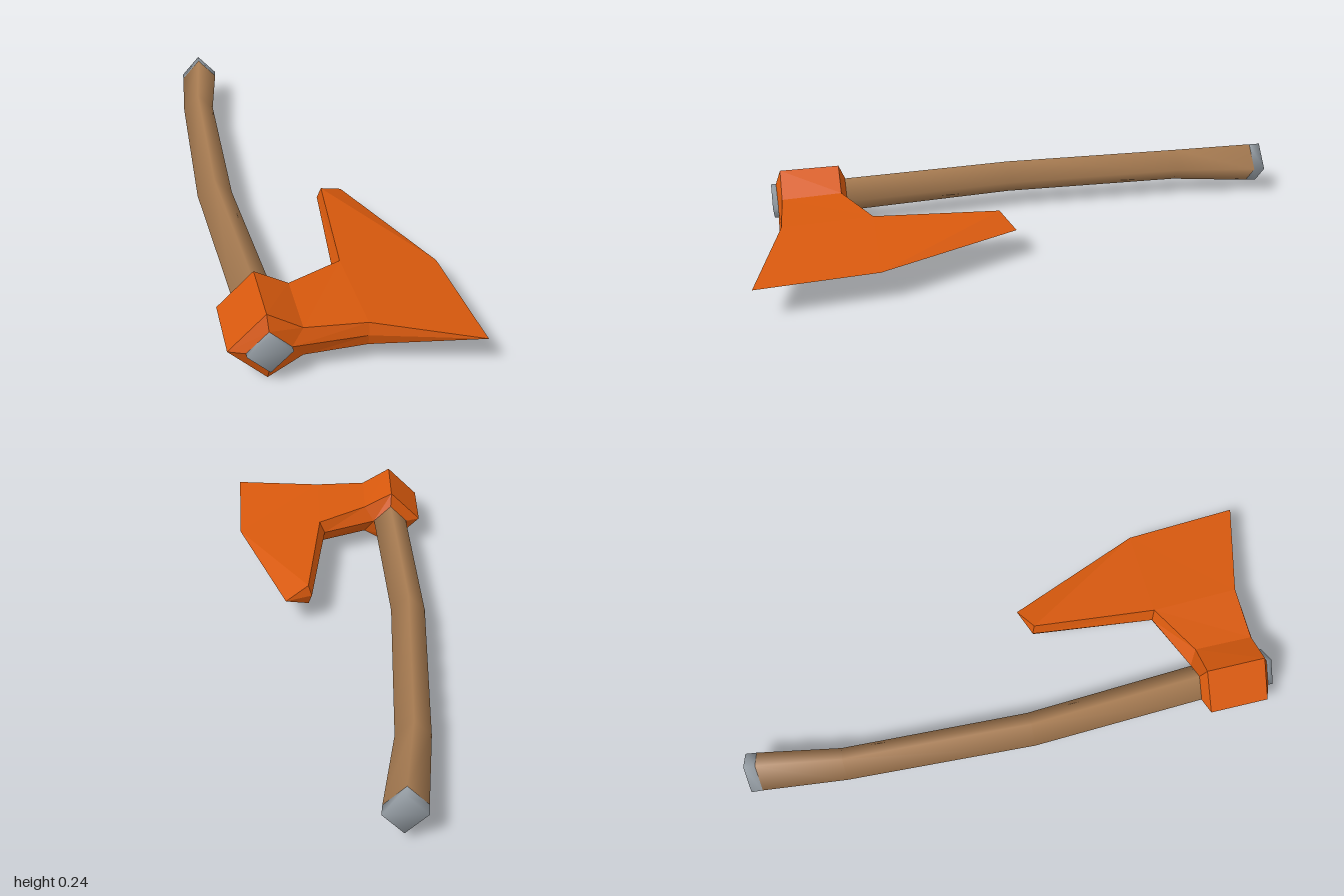
import * as THREE from 'three';

const CY = 0.1225; // height of the mirror plane

function makeMesh(name, positions, index, material) {
  const g = new THREE.BufferGeometry();
  g.setAttribute('position', new THREE.Float32BufferAttribute(positions, 3));
  if (index) g.setIndex(index);
  g.computeVertexNormals();
  const m = new THREE.Mesh(g, material);
  m.name = name;
  return m;
}

// Four-sided smooth shaft through sections [x, z, rx, ry], ordered front to back
function shaft(name, sections, material, capFront, capBack) {
  const pos = [], idx = [];
  for (const [x, z, rx, ry] of sections) {
    for (let k = 0; k < 4; k++) {
      const a = (k * Math.PI) / 2;
      pos.push(x + rx * Math.cos(a), CY + ry * Math.sin(a), z);
    }
  }
  for (let i = 0; i < sections.length - 1; i++) {
    for (let k = 0; k < 4; k++) {
      const a = i * 4 + k, b = i * 4 + ((k + 1) % 4);
      idx.push(a, a + 4, b, b, a + 4, b + 4);
    }
  }
  const e = (sections.length - 1) * 4;
  if (capFront) idx.push(0, 1, 2, 0, 2, 3);
  if (capBack) idx.push(e, e + 2, e + 1, e, e + 3, e + 2);
  return makeMesh(name, pos, idx, material);
}

// Faceted axe head: upper half faces, mirrored to the lower half
function axeHead(material) {
  // points are [x, height above the mirror plane, z]; F = front, R = rear
  const P = {
    LF: [-0.39, 0, 0.89], LR: [-0.39, 0, 0.675],        // collar back corner
    AF: [-0.27, 0.1205, 0.89], AR: [-0.27, 0.1205, 0.675], // collar crest
    BF: [-0.16, 0.052, 0.89], BR: [-0.16, 0.058, 0.675], // neck
    CF: [0.04, 0.042, 0.895], CR: [0.03, 0.045, 0.575],  // blade root
    D: [0.075, 0.041, 0.125],                            // beard tip shoulder
    E: [0.16, 0, 0.08], F: [0.36, 0, 0.58], G: [0.385, 0, 0.995], // cutting edge
    iLF: [-0.336, 0, 0.91], iLR: [-0.336, 0, 0.655],     // socket rim
    iTF: [-0.267, 0.07, 0.91], iTR: [-0.267, 0.07, 0.655],
    M0F: [-0.198, 0, 0.908], M0R: [-0.198, 0, 0.655],    // side ridges
    M1F: [0.04, 0, 0.905], M1R: [0.01, 0, 0.567],
    M2R: [0.062, 0, 0.117],
  };
  const faces = [
    'LF AF AR LR', 'AF BF BR AR', 'BF CF CR BR',           // collar and neck
    'CF G F', 'CF F CR', 'CR F D', 'D F E',                // blade cheek
    'LF iLF iTF AF', 'iTF M0F BF AF', 'M0F M1F CF BF', 'M1F G CF', // front bevels
    'AR iTR iLR LR', 'AR BR M0R iTR', 'BR CR M1R M0R',     // rear bevels
    'CR D M2R M1R', 'D E M2R',
  ];
  const pos = [];
  for (const side of [1, -1]) {
    for (const f of faces) {
      const c = f.split(' ').map((n) => P[n]);
      if (side < 0) c.reverse();
      for (let i = 1; i < c.length - 1; i++) {
        for (const p of [c[0], c[i], c[i + 1]]) pos.push(p[0], CY + side * p[1], p[2]);
      }
    }
  }
  return makeMesh('axeHead', pos, null, material);
}

export function createModel() {
  const orange = new THREE.MeshStandardMaterial({ color: 0xd8590d, flatShading: true });
  orange.name = 'orange head';
  const wood = new THREE.MeshStandardMaterial({ color: 0xa87c52 });
  wood.name = 'wood';
  const metal = new THREE.MeshStandardMaterial({ color: 0x979fa6 });
  metal.name = 'grey metal';

  const group = new THREE.Group();
  group.name = 'axe';
  group.add(axeHead(orange));

  // curved wooden handle, flared at the grip end
  group.add(shaft('handle', [
    [-0.267, 0.9, 0.069, 0.07],
    [-0.267, 0.65, 0.067, 0.067],
    [-0.297, 0.02, 0.063, 0.064],
    [-0.265, -0.66, 0.06, 0.064],
    [-0.221, -0.96, 0.071, 0.079],
  ], wood, false, false));

  // metal end caps
  group.add(shaft('frontCap', [
    [-0.267, 0.928, 0.07, 0.07],
    [-0.267, 0.9, 0.07, 0.07],
  ], metal, true, false));
  group.add(shaft('gripCap', [
    [-0.221, -0.96, 0.071, 0.079],
    [-0.217, -1.0, 0.072, 0.08],
  ], metal, false, true));

  return group;
}
